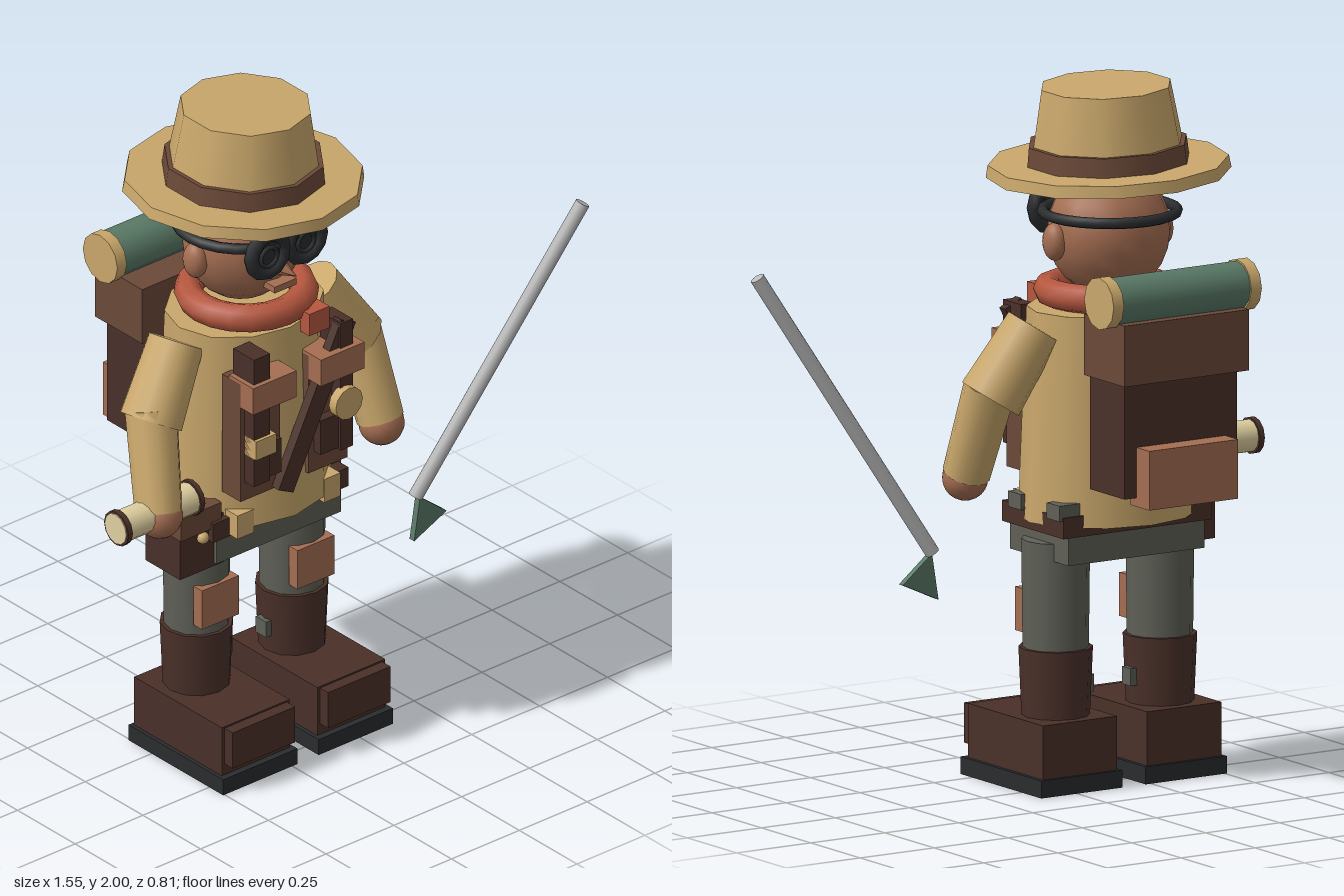
import * as THREE from 'three';

const V = (x, y, z) => new THREE.Vector3(x, y, z);
const CX = -0.19; // the figure's own middle line
const CZ = 0.03;

export function createModel() {
  const root = new THREE.Group();
  root.name = 'explorer';
  const paint = (name, color) => {
    const m = new THREE.MeshStandardMaterial({ color });
    m.name = name;
    return m;
  };
  const tan = paint('tan cloth', 0xc9a76b);
  const skin = paint('skin and light leather', 0xa56e52);
  const dark = paint('dark leather', 0x4a3029);
  const brown = paint('brown leather', 0x6b4938);
  const grey = paint('grey trousers', 0x5f6057);
  const black = paint('black rubber', 0x2a2c2e);
  const green = paint('green canvas', 0x5a7a67);
  const red = paint('red scarf', 0xb5573f);
  const cream = paint('cream paper', 0xe0d0a0);
  const steel = paint('steel', 0xb8b8b8);

  const add = (name, geo, mat, x = 0, y = 0, z = 0, parent = root) => {
    const m = new THREE.Mesh(geo, mat);
    m.name = name;
    m.position.set(x, y, z);
    parent.add(m);
    return m;
  };
  // box given by its limits on each axis
  const box = (name, mat, x0, x1, y0, y1, z0, z1) =>
    add(name, new THREE.BoxGeometry(x1 - x0, y1 - y0, z1 - z0), mat,
      (x0 + x1) / 2, (y0 + y1) / 2, (z0 + z1) / 2);
  // round bar from a to b
  const bar = (name, mat, a, b, ra, rb = ra, seg = 12) => {
    const m = add(name, new THREE.CylinderGeometry(rb, ra, a.distanceTo(b), seg), mat);
    m.position.copy(a).lerp(b, 0.5);
    m.quaternion.setFromUnitVectors(V(0, 1, 0), b.clone().sub(a).normalize());
    return m;
  };
  const ball = (name, mat, x, y, z, r, sx = 1, sy = 1, sz = 1) => {
    const m = add(name, new THREE.SphereGeometry(r, 16, 12), mat, x, y, z);
    m.scale.set(sx, sy, sz);
    return m;
  };

  // hat, slightly tilted
  const hat = new THREE.Group();
  hat.name = 'hat';
  hat.position.set(CX, 1.757, CZ - 0.003);
  hat.rotation.z = -0.037;
  root.add(hat);
  add('brim', new THREE.CylinderGeometry(0.34, 0.346, 0.035, 12), tan, 0, 0, 0, hat);
  add('crown', new THREE.CylinderGeometry(0.188, 0.228, 0.23, 10), tan, 0, 0.12, 0, hat);
  add('hatBand', new THREE.CylinderGeometry(0.23, 0.236, 0.055, 10), brown, 0, 0.045, 0, hat);

  // head
  ball('head', skin, CX, 1.575, 0.025, 0.18, 1, 1.03, 0.93);
  for (const s of [-1, 1]) ball('ear', skin, CX + s * 0.18, 1.56, 0.03, 0.04, 0.8, 1.35, 1);
  const nose = add('nose', new THREE.ConeGeometry(0.03, 0.08, 4), skin, CX, 1.54, 0.22);
  nose.rotation.x = Math.PI / 2;
  box('mouth', skin, CX - 0.04, CX + 0.04, 1.478, 1.498, 0.16, 0.21);

  // goggles
  const strap = add('gogglesStrap', new THREE.TorusGeometry(0.19, 0.016, 8, 24), black, CX, 1.632, 0.02);
  strap.rotation.x = Math.PI / 2;
  for (const s of [-1, 1]) {
    const x = CX + s * 0.068;
    add('goggleRim', new THREE.TorusGeometry(0.06, 0.021, 8, 12), black, x, 1.618, 0.212);
    const lens = add('goggleLens', new THREE.CylinderGeometry(0.058, 0.058, 0.02, 12), black, x, 1.618, 0.207);
    lens.rotation.x = Math.PI / 2;
    add('innerRim', new THREE.TorusGeometry(0.03, 0.007, 6, 12), black, x, 1.61, 0.218);
  }

  // scarf
  const scarf = add('scarf', new THREE.TorusGeometry(0.163, 0.042, 8, 20), red, CX, 1.403, 0.04);
  scarf.rotation.x = Math.PI / 2;
  box('scarfKnot', red, -0.145, -0.07, 1.33, 1.4, 0.2, 0.26);

  // shirt, hips and belt
  const shirt = add('shirt', new THREE.CylinderGeometry(0.24, 0.265, 0.6, 12), tan, CX, 1.064, CZ);
  shirt.scale.z = 0.84;
  box('hips', grey, CX - 0.23, CX + 0.23, 0.66, 0.745, -0.115, 0.18);
  box('belt', dark, CX - 0.25, CX + 0.25, 0.74, 0.8, -0.12, 0.19);
  for (const s of [-1, 1]) {
    box('shirtTab', tan, CX + s * 0.16 - 0.03, CX + s * 0.16 + 0.03, 0.745, 0.82, 0.17, 0.225);
    for (const z of [-0.085, 0.11])
      box('beltClip', grey, CX + s * 0.225 - 0.035, CX + s * 0.225 + 0.035, 0.79, 0.835, z - 0.03, z + 0.035);
  }

  // hip pouch
  box('pouch', dark, -0.545, -0.385, 0.65, 0.81, 0.02, 0.17);
  box('pouchFlap', brown, -0.55, -0.4, 0.78, 0.853, 0.01, 0.18);
  ball('pouchButton', tan, -0.465, 0.76, 0.175, 0.018);

  // chest panels, pockets and straps
  const panels = [[-0.39, -0.245, -0.375, -0.315], [-0.14, 0.005, -0.055, -0.01]];
  for (const [x0, x1, s0, s1] of panels) {
    box('vestPanel', brown, x0, x1, 0.88, 1.26, 0.17, 0.25);
    box('pocketFlap', skin, x0, x1 + 0.015, 1.185, 1.27, 0.2, 0.305);
    box('chestStrap', dark, s0, s1, 0.94, 1.35, 0.2, 0.29);
    box('chestPocket', dark, x0 + 0.02, x1 - 0.02, 0.945, 1.055, 0.2, 0.28);
  }
  box('strapBuckle', tan, -0.375, -0.3, 1.03, 1.09, 0.25, 0.3);
  const compass = add('compass', new THREE.CylinderGeometry(0.05, 0.05, 0.03, 12), tan, -0.04, 1.095, 0.295);
  compass.rotation.x = Math.PI / 2;
  const sash = add('sash', new THREE.BoxGeometry(0.06, 0.52, 0.03), dark, -0.135, 1.11, 0.268);
  sash.rotation.z = -0.46;

  // arms
  for (const s of [-1, 1]) {
    const handX = s < 0 ? -0.618 : 0.2;
    const shoulder = V(CX + s * 0.25, 1.325, 0.03);
    const elbow = V(CX + s * 0.373, 1.125, 0.065);
    const wrist = V(handX, 0.895, 0.162);
    const side = s < 0 ? 'right' : 'left';
    bar(side + 'Sleeve', tan, shoulder, elbow, 0.082, 0.093);
    bar(side + 'Forearm', tan, elbow.clone().add(V(0, 0.04, 0)), wrist, 0.075, 0.068);
    ball(side + 'Hand', skin, handX, 0.885, 0.167, 0.066);
  }

  // legs and boots
  for (const s of [-1, 1]) {
    const x = CX - 0.002 + s * 0.176;
    bar('leg', grey, V(x, 0.36, 0.033), V(x, 0.71, 0.033), 0.093, 0.097);
    box('kneePatch', skin, x - 0.068, x + 0.068, 0.435, 0.56, 0.1, 0.137);
    bar('bootShaft', dark, V(x, 0.19, 0.033), V(x, 0.4, 0.033), 0.096, 0.105);
    box('bootBuckle', grey, x - s * 0.1 - 0.014, x - s * 0.1 + 0.014, 0.26, 0.31, 0.01, 0.055);
    box('bootFoot', dark, x - 0.125, x + 0.125, 0.05, 0.205, -0.09, 0.29);
    box('toeCap', dark, x - 0.115, x + 0.115, 0.085, 0.2, 0.28, 0.325);
    box('sole', black, x - 0.137, x + 0.137, 0, 0.05, -0.1, 0.31);
  }

  // backpack with bedroll
  box('pack', dark, CX - 0.19, CX + 0.19, 0.885, 1.37, -0.34, -0.165);
  box('packFlap', brown, CX - 0.21, CX + 0.21, 1.215, 1.39, -0.37, -0.165);
  box('packPocket', skin, CX - 0.15, CX + 0.15, 0.86, 1.03, -0.405, -0.31);
  bar('bedroll', green, V(-0.42, 1.447, -0.3), V(0.04, 1.447, -0.3), 0.07);
  for (const [a, b] of [[-0.44, -0.405], [0.025, 0.06]])
    bar('bedrollEnd', tan, V(a, 1.447, -0.3), V(b, 1.447, -0.3), 0.075);

  // rolled map in the right hand
  bar('rolledMap', cream, V(-0.775, 0.896, 0.16), V(-0.485, 0.896, 0.16), 0.047);
  for (const [a, b] of [[-0.772, -0.755], [-0.503, -0.488]])
    bar('mapRing', dark, V(a, 0.896, 0.16), V(b, 0.896, 0.16), 0.053);

  // steel rod with a flat pointed blade
  bar('rod', steel, V(0.255, 0.66, 0.25), V(0.757, 1.482, 0.385), 0.021, 0.021, 10);
  const tri = new THREE.Shape([[0.262, 0.66], [0.24, 0.525], [0.36, 0.58]].map(([x, y]) => new THREE.Vector2(x, y)));
  add('blade', new THREE.ExtrudeGeometry(tri, { depth: 0.02, bevelEnabled: false }), green, 0, 0, 0.242);

  return root;
}
